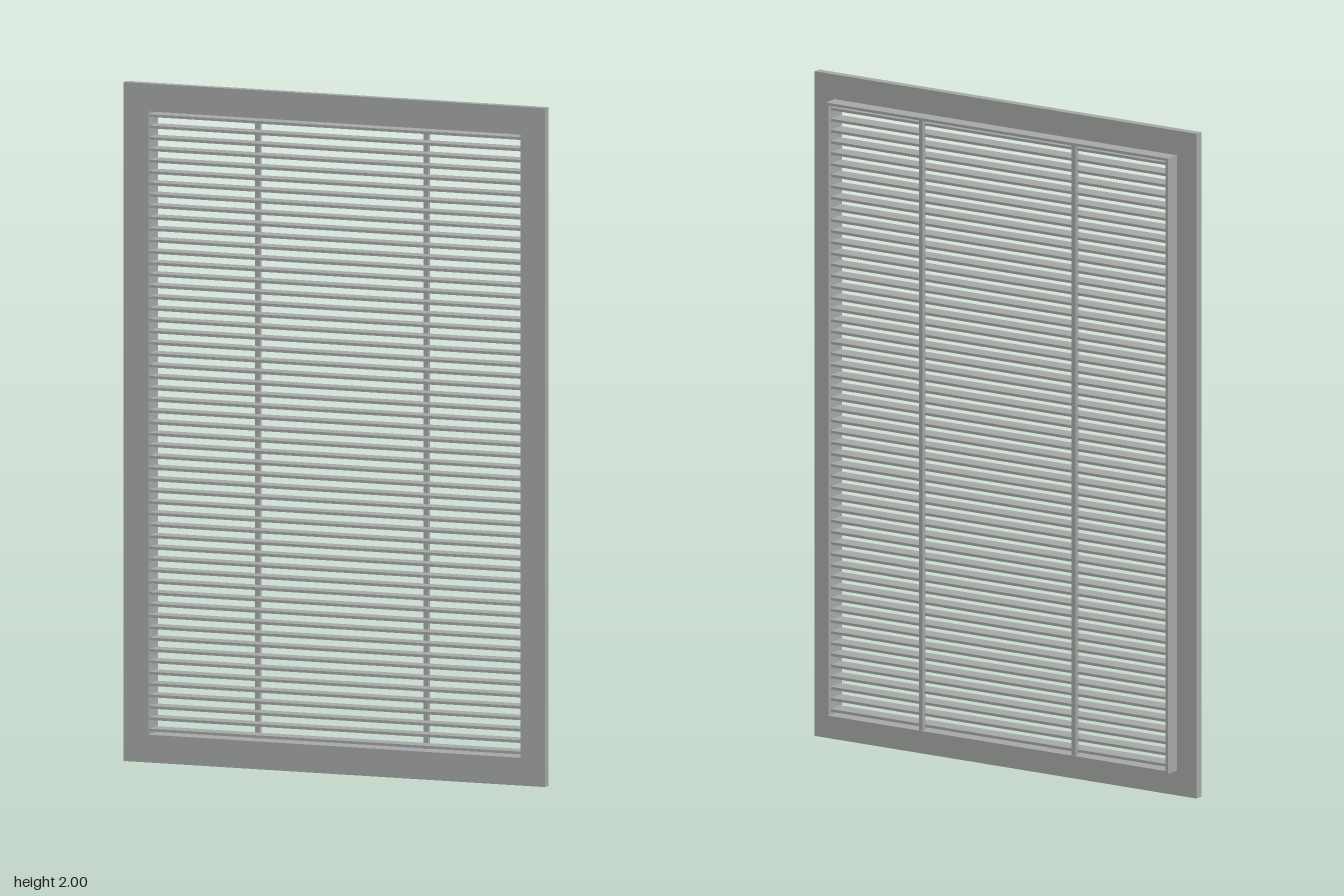
import * as THREE from 'three';

// Rectangle path centred on (0, 1)
function rect(PathType, halfW, halfH) {
  const p = new PathType();
  p.moveTo(-halfW, 1 - halfH);
  p.lineTo(halfW, 1 - halfH);
  p.lineTo(halfW, 1 + halfH);
  p.lineTo(-halfW, 1 + halfH);
  p.closePath();
  return p;
}

export function createModel() {
  const grille = new THREE.Group();
  grille.name = 'ventGrille';
  const metal = new THREE.MeshStandardMaterial({ color: 0xa6a9a7 });
  metal.name = 'grey metal';

  const openW = 0.587, openH = 0.918;

  // Rectangular ring extruded from zBack to zFront
  function ring(name, halfW, halfH, zBack, zFront) {
    const shape = rect(THREE.Shape, halfW, halfH);
    shape.holes.push(rect(THREE.Path, openW, openH));
    const geo = new THREE.ExtrudeGeometry(shape, { depth: zFront - zBack, bevelEnabled: false });
    geo.translate(0, 0, zBack);
    const mesh = new THREE.Mesh(geo, metal);
    mesh.name = name;
    grille.add(mesh);
  }

  function box(name, parent, w, h, d, x, y, z) {
    const mesh = new THREE.Mesh(new THREE.BoxGeometry(w, h, d), metal);
    mesh.name = name;
    mesh.position.set(x, y, z);
    parent.add(mesh);
  }

  // Front flange and the collar behind it
  ring('frontFrame', 0.665, 1, 0.01, 0.035);
  ring('rearCollar', 0.596, 0.926, -0.037, 0.01);

  // Horizontal blades
  const blades = new THREE.Group();
  blades.name = 'blades';
  grille.add(blades);
  const count = 55, first = 0.095, last = 1.905;
  for (let i = 0; i < count; i++) {
    const y = first + ((last - first) * i) / (count - 1);
    box('blade', blades, openW * 2, 0.008, 0.052, 0, y, 0.003);
  }

  // Vertical stiffeners at the back
  for (const side of [-1, 1]) {
    box('rearStiffener', grille, 0.013, openH * 2, 0.016, side * 0.266, 1, -0.027);
  }

  return grille;
}
